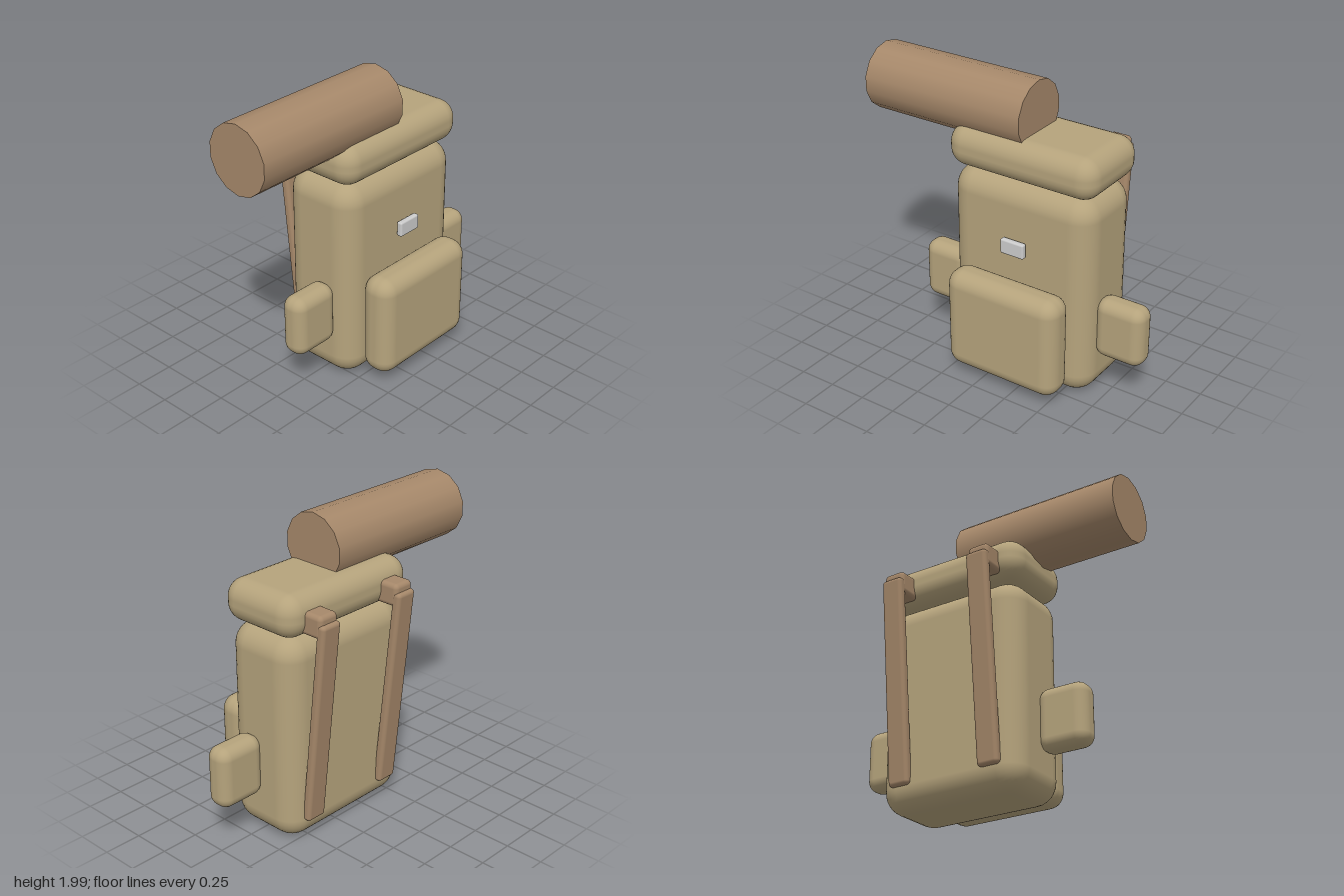
import * as THREE from 'three';
import { RoundedBoxGeometry } from 'three/addons/geometries/RoundedBoxGeometry.js';

const canvas = new THREE.MeshStandardMaterial({ color: 0xb5a37c });
const leather = new THREE.MeshStandardMaterial({ color: 0xa6886a });
const metal = new THREE.MeshStandardMaterial({ color: 0xcccccc });

const CENTRE = 0.17; // x of the pack's own middle plane

// Rounded box with its size, corner radius and centre
function pad(name, size, radius, position, material = canvas) {
  const mesh = new THREE.Mesh(new RoundedBoxGeometry(...size, 4, radius), material);
  mesh.name = name;
  mesh.position.set(...position);
  return mesh;
}

export function createModel() {
  const pack = new THREE.Group();
  pack.name = 'backpack';

  // Main bag, lid and front pocket
  pack.add(
    pad('body', [1.03, 1.38, 0.55], 0.15, [CENTRE, 0.69, -0.025]),
    pad('lid', [1.065, 0.275, 0.585], 0.12, [CENTRE, 1.518, -0.027]),
    pad('frontPocket', [0.82, 0.69, 0.23], 0.1, [CENTRE, 0.415, 0.355]),
    pad('buckle', [0.17, 0.1, 0.04], 0.012, [CENTRE, 0.97, 0.285], metal),
  );

  // Side pockets and shoulder straps, mirrored about the middle plane
  for (const [side, s] of [['left', 1], ['right', -1]]) {
    pack.add(pad(side + 'SidePocket', [0.34, 0.41, 0.175], 0.075, [CENTRE + s * 0.658, 0.485, 0.042]));

    const x = CENTRE + s * 0.328;
    const strap = pad(side + 'Strap', [0.15, 1.37, 0.062], 0.025, [x, 0.828, -0.37], leather);
    strap.rotation.x = -0.1;
    pack.add(strap);
    pack.add(pad(side + 'StrapMount', [0.15, 0.148, 0.2], 0.03, [x, 1.488, -0.342], leather));
  }

  // Bedroll lying across the lid, sticking out to the right
  const roll = new THREE.Mesh(
    new THREE.CylinderGeometry(0.2235, 0.2235, 1.17, 14, 1, false, Math.PI / 2),
    leather,
  );
  roll.name = 'bedroll';
  roll.rotation.z = Math.PI / 2;
  roll.position.set(-0.415, 1.762, 0.008);
  pack.add(roll);

  return pack;
}
